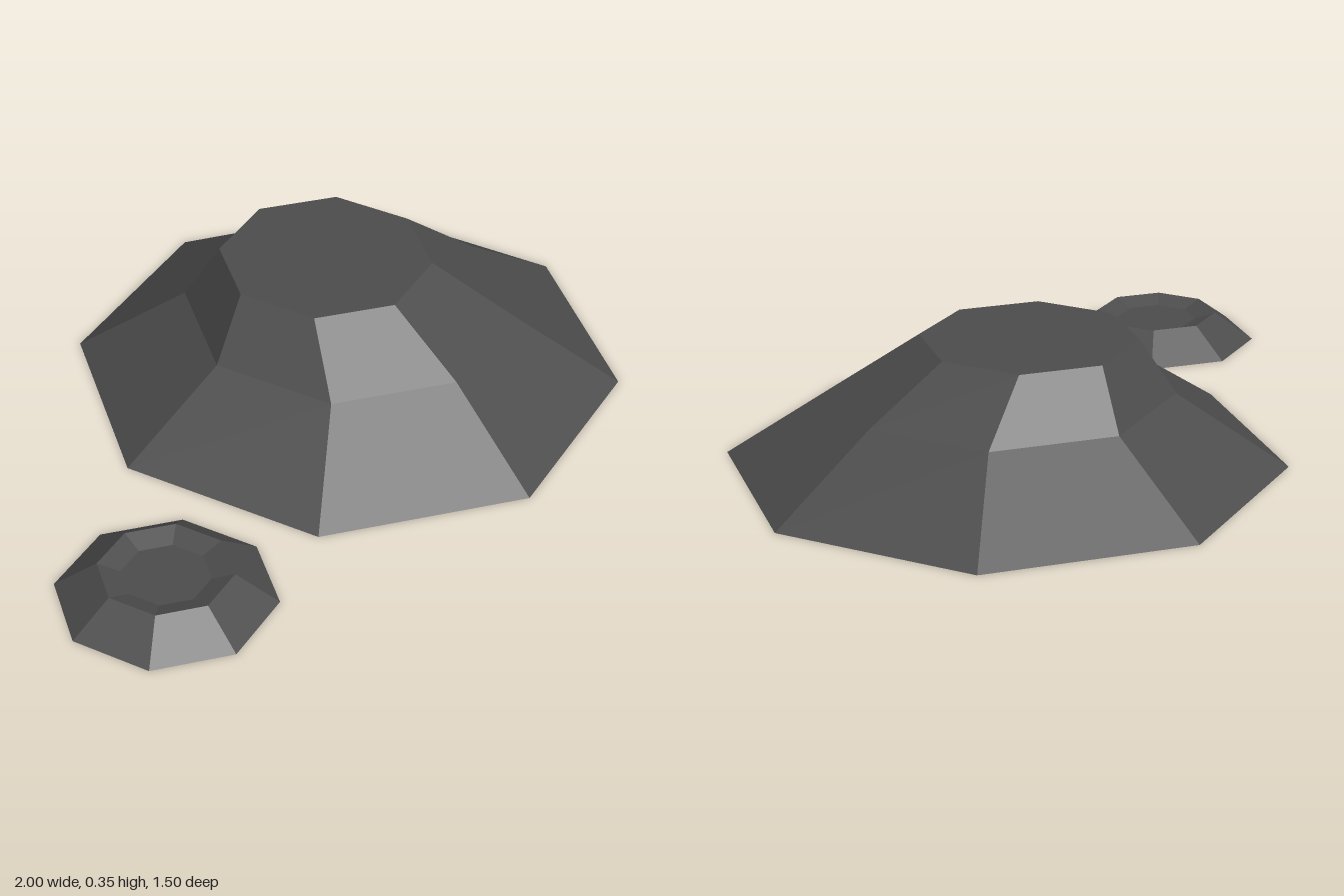
import * as THREE from 'three';

const SIDES = 8;

// Joins octagonal rings [centreX, y, centreZ, radius], bottom to top, and caps both ends.
function mound(rings, material, name) {
  const positions = [];
  const corner = ([cx, y, cz, r], i) => {
    const a = (i / SIDES) * Math.PI * 2;
    return [cx + Math.sin(a) * r, y, cz + Math.cos(a) * r];
  };
  const tri = (a, b, c) => positions.push(...a, ...b, ...c);
  const first = rings[0];
  const last = rings[rings.length - 1];
  for (let i = 0; i < SIDES; i++) {
    for (let k = 0; k < rings.length - 1; k++) {
      const a = corner(rings[k], i), b = corner(rings[k], i + 1);
      const c = corner(rings[k + 1], i + 1), d = corner(rings[k + 1], i);
      tri(a, b, c);
      tri(a, c, d);
    }
    tri(first.slice(0, 3), corner(first, i + 1), corner(first, i));
    tri(last.slice(0, 3), corner(last, i), corner(last, i + 1));
  }
  const geometry = new THREE.BufferGeometry();
  geometry.setAttribute('position', new THREE.Float32BufferAttribute(positions, 3));
  geometry.computeVertexNormals();
  const mesh = new THREE.Mesh(geometry, material);
  mesh.name = name;
  return mesh;
}

export function createModel() {
  const group = new THREE.Group();
  group.name = 'rockMounds';
  const rock = new THREE.MeshStandardMaterial({ color: 0x4d4d4d, flatShading: true });
  rock.name = 'dark grey rock';

  // Large mound with a flat top shifted towards the back
  group.add(mound([
    [0.25, 0, 0, 0.75],
    [0.25, 0.2, 0, 0.45],
    [0.21, 0.35, -0.05, 0.29],
  ], rock, 'largeMound'));

  // Small mound with a shallow dish inside its rim
  group.add(mound([
    [-0.714, 0, 0.462, 0.286],
    [-0.714, 0.08, 0.462, 0.174],
    [-0.714, 0.06, 0.462, 0.115],
  ], rock, 'smallCrater'));

  return group;
}
